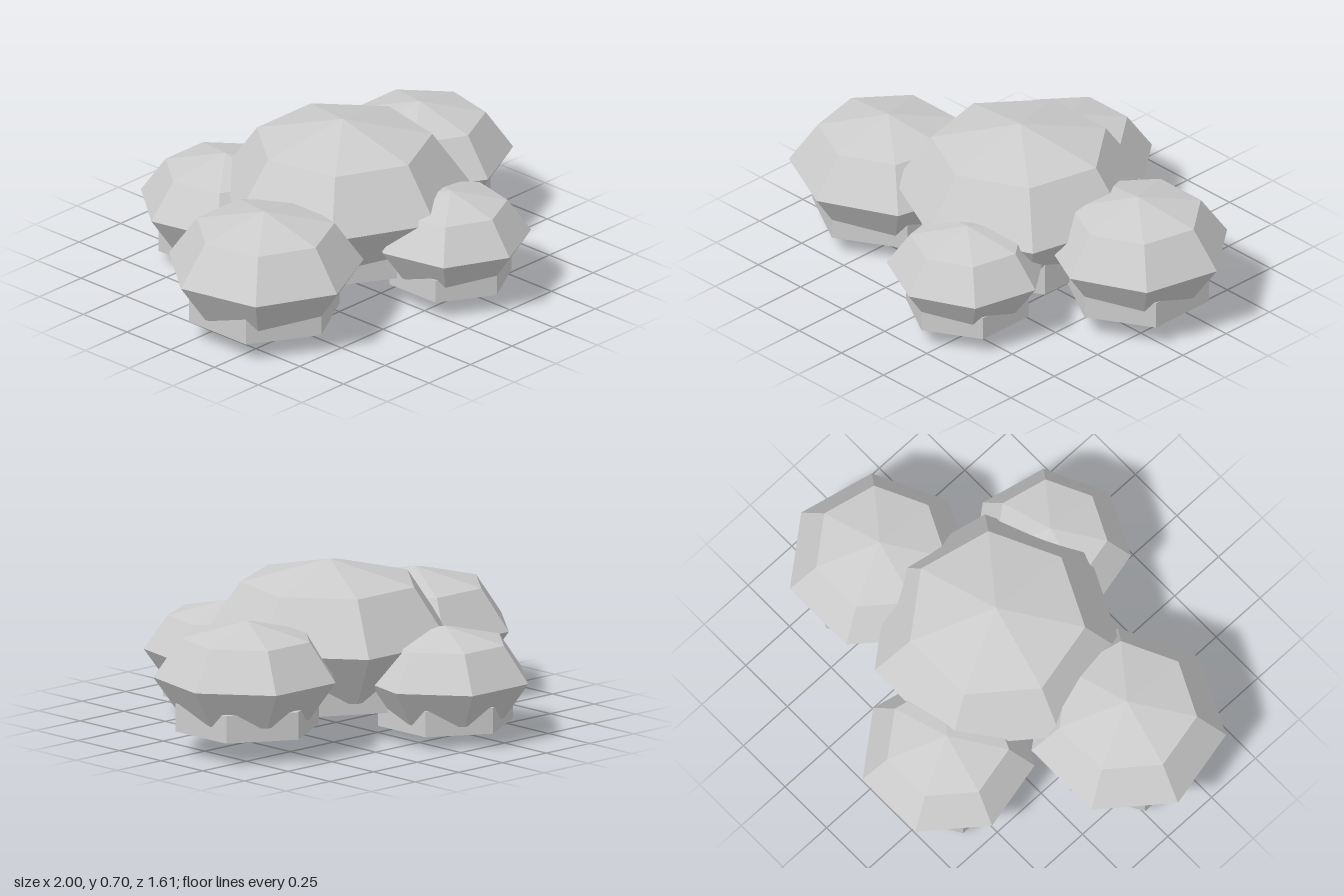
import * as THREE from 'three';

export function createModel() {
  const cloud = new THREE.Group();
  cloud.name = 'cloud';
  const cloudGrey = new THREE.MeshStandardMaterial({ color: 0xcccccc, flatShading: true });
  cloudGrey.name = 'cloudGrey';

  // Squashed low-poly ball with one corner pointing to the front
  function ball(name, radius, height, sides, rings, x, y, z) {
    const geometry = new THREE.SphereGeometry(radius, sides, rings);
    geometry.rotateY(Math.PI / 2);
    geometry.scale(1, height / radius, 1);
    const mesh = new THREE.Mesh(geometry, cloudGrey);
    mesh.name = name;
    mesh.position.set(x, y, z);
    return mesh;
  }

  // name, radius, centre x, y, z, lowest point
  const puffs = [
    ['middlePuff', 0.528, 0.035, 0.39, 0, 0.04],
    ['rightPuff', 0.415, -0.595, 0.297, 0.15, 0.02],
    ['leftPuff', 0.391, 0.615, 0.32, -0.113, 0.04],
    ['backPuff', 0.367, -0.172, 0.247, -0.476, 0],
    ['frontPuff', 0.337, 0.195, 0.272, 0.463, 0.028],
  ];

  for (const [name, r, x, y, z, bottom] of puffs) {
    const puff = new THREE.Group();
    puff.name = name;
    // Seven-sided dome over a flat six-sided base with upright walls
    puff.add(ball(name + 'Dome', r, r * 0.595, 7, 4, x, y, z));
    puff.add(ball(name + 'Base', r * 0.905, r * 0.3, 6, 3, x, bottom + r * 0.3, z));
    cloud.add(puff);
  }
  return cloud;
}
